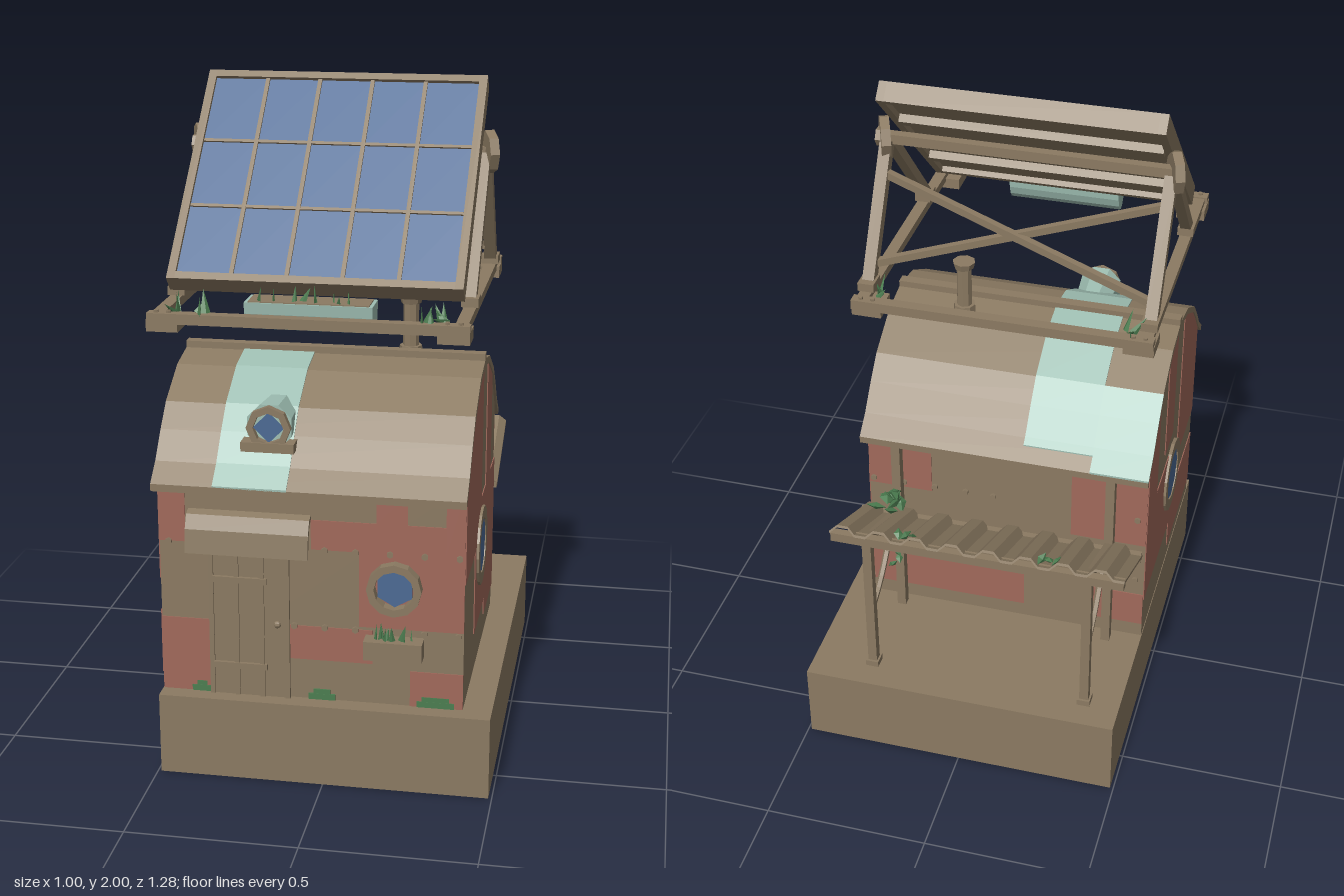
import * as THREE from 'three';

const mat = (name, color, side = THREE.FrontSide) => {
  const m = new THREE.MeshStandardMaterial({ color, flatShading: true, side });
  m.name = name;
  return m;
};

export function createModel() {
  const brown = mat('weathered brown', 0x8b7a62);
  const red = mat('faded red', 0xa1695b);
  const mint = mat('pale mint', 0x9fbfb3);
  const blue = mat('glass blue', 0x4c6a94);
  const green = mat('leaf green', 0x4c7d50, THREE.DoubleSide);

  const root = new THREE.Group();
  root.name = 'solarHut';
  const CX = -0.04; // centre line of the hut

  // ---- helpers ----
  const add = (name, geo, m, x = 0, y = 0, z = 0, parent = root) => {
    const mesh = new THREE.Mesh(geo, m);
    mesh.name = name;
    mesh.position.set(x, y, z);
    parent.add(mesh);
    return mesh;
  };
  const box = (name, w, h, d, x, y, z, m = brown, parent = root) =>
    add(name, new THREE.BoxGeometry(w, h, d), m, x, y, z, parent);
  // box given by its limits
  const span = (name, x0, x1, y0, y1, z0, z1, m = brown) =>
    box(name, x1 - x0, y1 - y0, z1 - z0, (x0 + x1) / 2, (y0 + y1) / 2, (z0 + z1) / 2, m);
  const beam = (name, a, b, w, h = w) => {
    const p = new THREE.Vector3(...a), q = new THREE.Vector3(...b);
    const mesh = box(name, w, h, p.distanceTo(q), 0, 0, 0);
    mesh.position.copy(p).add(q).multiplyScalar(0.5);
    mesh.lookAt(q);
    return mesh;
  };
  // extrude a [z, y] outline along x
  const extrudeX = (pts, x0, x1) => {
    const s = new THREE.Shape(pts.map(([z, y]) => new THREE.Vector2(-z, y)));
    return new THREE.ExtrudeGeometry(s, { depth: x1 - x0, bevelEnabled: false })
      .rotateY(Math.PI / 2).translate(x0, 0, 0);
  };
  // ring and glass facing +z
  const porthole = (name, r, rGlass, depth, seg) => {
    const g = new THREE.Group();
    g.name = name;
    const s = new THREE.Shape().absarc(0, 0, r, 0, Math.PI * 2);
    s.holes.push(new THREE.Path().absarc(0, 0, rGlass, 0, Math.PI * 2, true));
    add('windowRing', new THREE.ExtrudeGeometry(s, { depth, bevelEnabled: false, curveSegments: seg }), brown, 0, 0, 0, g);
    add('windowGlass', new THREE.CylinderGeometry(rGlass, rGlass, 0.006, seg).rotateX(Math.PI / 2), blue, 0, 0, Math.min(0.008, depth / 2), g);
    root.add(g);
    return g;
  };
  let seed = 7;
  const rnd = () => (seed = (seed * 16807) % 2147483647) / 2147483647;
  const tuft = (x, y, z, n, size, spread, tilt = 0.5) => {
    for (let i = 0; i < n; i++) {
      const h = size * (0.7 + 0.5 * rnd());
      const m = add('leaf', new THREE.ConeGeometry(h * 0.22, h, 4).scale(1, 1, 0.4).translate(0, h / 2, 0), green,
        x + (rnd() - 0.5) * spread, y, z + (rnd() - 0.5) * 0.02);
      m.rotation.set((rnd() - 0.5) * tilt * 2, rnd() * 3, (rnd() - 0.5) * tilt * 2);
    }
  };
  const leaf = (x, y, z, s) => {
    const m = add('vineLeaf', new THREE.OctahedronGeometry(s).scale(1, 0.35, 0.7), green, x, y, z);
    m.rotation.set(rnd() * 1.6, rnd() * 6, rnd() * 1.2);
  };

  // ---- plinth ----
  span('plinth', -0.49, 0.49, 0, 0.25, -0.64, 0.64);

  // ---- arched hut body and roof ----
  const half = [[0.45, 0.91], [0.39, 0.96], [0.325, 1.035], [0.26, 1.1], [0.125, 1.175], [0, 1.2]];
  const arch = [...half.map(([d, y]) => [0.19 - d, y]), ...half.slice(0, -1).reverse().map(([d, y]) => [0.19 + d, y])];
  const height = z => {
    for (let i = 1; i < arch.length; i++) {
      const [a, ya] = arch[i - 1], [b, yb] = arch[i];
      if (z <= b) return ya + (yb - ya) * (z - a) / (b - a);
    }
    return arch[arch.length - 1][1];
  };
  const archLine = (z0, z1, off) => [z0, ...arch.map(p => p[0]).filter(z => z > z0 + 0.001 && z < z1 - 0.001), z1]
    .map(z => [z, height(z) + off]);
  const underArch = (z0, z1, y0, off) => [[z1, y0], [z0, y0], ...archLine(z0, z1, off)];
  const shell = (z0, z1, top, bottom) => [...archLine(z0, z1, top), ...archLine(z0, z1, bottom).reverse()];
  add('hutBody', extrudeX(underArch(-0.205, 0.585, 0.25, -0.015), -0.488, 0.405), brown);
  add('roof', extrudeX(shell(-0.26, 0.64, 0, -0.022), -0.495, 0.412), brown);
  add('roofPatch', extrudeX(shell(-0.22, 0.64, 0.004, -0.002), -0.315, -0.1), mint);
  add('roofPatch', extrudeX(shell(-0.26, -0.07, 0.004, -0.002), -0.496, -0.315), mint);
  span('ridgeCap', -0.495, 0.412, 1.19, 1.217, 0.173, 0.207);

  // ---- painted patches: end walls ----
  const endPatch = (side, z0, z1, y0, y1) => {
    const pts = y1 ? [[z1, y0], [z0, y0], [z0, y1], [z1, y1]] : underArch(z0, z1, y0, -0.022);
    const x = side > 0 ? 0.404 : -0.491;
    add('endWallPatch', extrudeX(pts, x, x + 0.004), red);
  };
  [[0.33, 0.585, 0.64], [0.185, 0.33, 0.76], [-0.08, 0.06, 0.76],
    [0.05, 0.33, 0.375, 0.76], [-0.205, 0.05, 0.32, 0.76]].forEach(p => endPatch(1, ...p));
  [[0.3, 0.585, 0.6], [-0.205, -0.06, 0.72], [0.06, 0.19, 0.78],
    [0.2, 0.585, 0.3, 0.5], [-0.205, 0.2, 0.4, 0.72]].forEach(p => endPatch(-1, ...p));
  // front and back walls
  [[-0.488, -0.41, 0.72, 0.93], [-0.04, 0.35, 0.72, 0.81], [0.15, 0.24, 0.81, 0.9], [0.35, 0.405, 0.72, 0.93],
    [0.1, 0.405, 0.49, 0.72], [-0.488, -0.335, 0.25, 0.48], [-0.11, 0.14, 0.375, 0.48], [0.25, 0.405, 0.25, 0.36]]
    .forEach(([a, b, c, d]) => span('frontWallPatch', a, b, c, d, 0.584, 0.588, red));
  [[-0.488, -0.25, 0.62, 0.86], [0.2, 0.405, 0.7, 0.9], [-0.1, 0.405, 0.3, 0.46], [-0.488, -0.3, 0.3, 0.42]]
    .forEach(([a, b, c, d]) => span('backWallPatch', a, b, c, d, -0.208, -0.204, red));
  // moss along the foot of the wall
  [[-0.4, -0.34], [-0.05, 0.03], [0.27, 0.38]].forEach(([a, b]) => {
    span('moss', a, b, 0.25, 0.268, 0.584, 0.591, green);
    span('moss', a + 0.015, b - 0.015, 0.268, 0.282, 0.584, 0.59, green);
  });

  // ---- round windows ----
  porthole('frontWindow', 0.08, 0.058, 0.035, 6).position.set(0.205, 0.62, 0.585);
  for (const s of [1, -1]) {
    const p = porthole('endWindow', 0.122, 0.085, 0.012, 8);
    p.position.set(s > 0 ? 0.404 : -0.487, 0.61, 0.19);
    p.rotation.y = s * Math.PI / 2;
  }
  // dormer with mint hood
  add('dormerHood', new THREE.CylinderGeometry(0.07, 0.058, 0.15, 8).rotateY(Math.PI / 8).rotateX(Math.PI / 2), mint, -0.165, 1.07, 0.475);
  porthole('dormerWindow', 0.065, 0.045, 0.02, 4).position.set(-0.165, 1.07, 0.55);
  span('dormerSill', -0.245, -0.09, 1.0, 1.028, 0.48, 0.575);

  // ---- door, awning, rivets, flower box ----
  span('door', -0.335, -0.11, 0.25, 0.71, 0.58, 0.594);
  for (const x of [-0.335, -0.26, -0.185, -0.11]) span('doorBatten', x - 0.007, x + 0.007, 0.25, 0.71, 0.59, 0.6);
  for (const y of [0.345, 0.615]) span('doorHinge', -0.33, -0.17, y - 0.009, y + 0.009, 0.59, 0.604);
  add('doorKnob', new THREE.SphereGeometry(0.011, 8, 6), brown, -0.138, 0.485, 0.602);
  add('doorAwning', extrudeX([[0.58, 0.825], [0.61, 0.815], [0.63, 0.775], [0.64, 0.705], [0.63, 0.705],
    [0.62, 0.765], [0.605, 0.8], [0.58, 0.81]], -0.4, -0.04), brown);
  const rivet = new THREE.CylinderGeometry(0.01, 0.01, 0.012, 6).rotateX(Math.PI / 2);
  [-0.46, 0, 0.09, 0.19, 0.29, 0.39].forEach(x => {
    for (const z of [0.589, -0.209]) {
      add('rivet', rivet, brown, x, 0.72, z);
      if (x > -0.4 || z < 0) add('rivet', rivet, brown, x, 0.48, z);
    }
  });
  add('rivet', rivet, brown, -0.09, 0.48, 0.589);
  span('flowerBox', 0.12, 0.29, 0.41, 0.467, 0.585, 0.64);
  tuft(0.205, 0.462, 0.612, 10, 0.05, 0.12, 0.3);

  // ---- chimney ----
  add('chimneyPipe', new THREE.CylinderGeometry(0.024, 0.024, 0.18, 8), brown, 0.177, 1.26, 0.11);
  add('chimneyCap', new THREE.CylinderGeometry(0.036, 0.03, 0.022, 8), brown, 0.177, 1.351, 0.11);
  add('chimneyCollar', new THREE.CylinderGeometry(0.034, 0.036, 0.04, 8), brown, 0.177, 1.19, 0.11);

  // ---- solar stand ----
  for (const s of [-1, 1]) {
    const x = CX + s * 0.425;
    beam('sideRail', [x, 1.395, 0.63], [x, 1.395, -0.25], 0.036, 0.026);
    beam('frontLeg', [x, 1.42, 0.39], [x, 1.78, 0.06], 0.032);
    beam('rearLeg', [x, 1.41, -0.18], [x, 1.78, 0.04], 0.036);
    box('legPad', 0.05, 0.026, 0.06, x, 1.422, 0.385);
    box('legPad', 0.05, 0.026, 0.06, x, 1.422, -0.18);
    add('pivotHub', new THREE.CylinderGeometry(0.064, 0.064, 0.028, 8).rotateX(Math.PI / 8).rotateZ(Math.PI / 2), brown, CX + s * 0.435, 1.79, 0.05);
    add('pivotBolt', new THREE.CylinderGeometry(0.03, 0.03, 0.02, 6).rotateZ(Math.PI / 2), brown, CX + s * 0.447, 1.79, 0.05);
    for (const z of [0.595, -0.22]) {
      box('cornerFoot', 0.09, 0.034, 0.088, CX + s * 0.407, 1.376, z);
      for (const d of [-0.018, 0.018])
        add('footBolt', new THREE.CylinderGeometry(0.007, 0.007, 0.012, 6), brown, CX + s * 0.407 + d, 1.413, z + (z > 0 ? 0.03 : -0.035));
      tuft(CX + s * 0.37, 1.405, z, 4, 0.06, 0.03, 0.8);
    }
    beam('crossBrace', [CX - s * 0.41, 1.47, -0.14 - s * 0.006], [CX + s * 0.41, 1.7, -0.005 - s * 0.006], 0.022);
  }
  span('frontBeam', -0.49, 0.412, 1.382, 1.412, 0.605, 0.64);
  span('rearBeam', -0.49, 0.412, 1.382, 1.412, -0.27, -0.235);
  beam('axle', [CX - 0.43, 1.79, 0.05], [CX + 0.43, 1.79, 0.05], 0.03);

  // hanging trough with plants
  const bowl = Array.from({ length: 9 }, (_, i) => [0.56 + 0.047 * Math.cos(Math.PI * i / 8), 1.445 - 0.085 * Math.sin(Math.PI * i / 8)]);
  add('trough', extrudeX(bowl, -0.22, 0.14), mint);
  span('troughSoil', -0.21, 0.13, 1.44, 1.448, 0.518, 0.602);
  tuft(CX, 1.44, 0.58, 9, 0.05, 0.3);
  tuft(-0.34, 1.41, 0.62, 3, 0.07, 0.03);
  tuft(0.29, 1.41, 0.62, 3, 0.06, 0.03);

  // ---- tilted solar panel ----
  const panel = new THREE.Group();
  panel.name = 'solarPanel';
  panel.position.set(CX, 1.724, 0.236);
  panel.rotation.x = 0.748;
  root.add(panel);
  const pbox = (name, w, h, d, x, y, z, m = brown) => box(name, w, h, d, x, y, z, m, panel);
  pbox('panelBack', 0.82, 0.024, 0.74, 0, 0, 0);
  for (const s of [-1, 1]) {
    pbox('panelRim', 0.024, 0.06, 0.757, s * 0.408, 0, 0);
    pbox('panelRim', 0.792, 0.06, 0.024, 0, 0, s * 0.3665);
    pbox('panelRib', 0.79, 0.03, 0.035, 0, -0.022, s * 0.19);
  }
  for (let c = 0; c < 5; c++) for (let r = 0; r < 3; r++)
    pbox('solarCell', 0.158, 0.008, 0.237, (c - 2) * 0.1585, 0.015, (r - 1) * 0.2363, blue);
  for (let c = 0; c < 4; c++) pbox('cellBar', 0.012, 0.014, 0.71, (c - 1.5) * 0.1585, 0.018, 0);
  for (const r of [-1, 1]) pbox('cellBar', 0.79, 0.014, 0.01, 0, 0.017, r * 0.118);

  // ---- rear canopy ----
  const wave = [], N = 8, P = 0.905 / N;
  for (let i = 0; i < N; i++)
    [[0, 0], [0.3, 0], [0.5, 1], [0.8, 1]].forEach(([u, v]) => wave.push([-0.4525 + (i + u) * P, v * 0.022]));
  wave.push([0.4525, 0]);
  const sheet = new THREE.Shape([...wave, ...wave.slice().reverse().map(([x, y]) => [x, y - 0.008])]
    .map(p => new THREE.Vector2(...p)));
  const canopy = add('corrugatedCanopy', new THREE.ExtrudeGeometry(sheet, { depth: 0.31, bevelEnabled: false }), brown, CX, 0.773, -0.56);
  canopy.rotation.x = 0.42;
  span('canopyOuterBeam', -0.49, 0.41, 0.735, 0.765, -0.56, -0.535);
  span('canopyInnerBeam', -0.49, 0.41, 0.63, 0.655, -0.3, -0.275);
  for (const x of [-0.38, 0.3]) {
    span('canopyPost', x - 0.014, x + 0.014, 0.25, 0.75, -0.555, -0.527);
    span('postFoot', x - 0.02, x + 0.02, 0.25, 0.27, -0.562, -0.52);
    span('wallPost', x - 0.014, x + 0.014, 0.25, 0.9, -0.258, -0.228);
    beam('canopyRafter', [x, 0.635, -0.25], [x, 0.75, -0.54], 0.022);
    const curve = new THREE.QuadraticBezierCurve3(new THREE.Vector3(x, 0.66, -0.31),
      new THREE.Vector3(x, 0.51, -0.4), new THREE.Vector3(x, 0.465, -0.54));
    add('curvedBrace', new THREE.TubeGeometry(curve, 8, 0.01, 5), brown);
  }

  // ---- climbing vine ----
  for (let i = 0; i < 9; i++) leaf(0.305 + (rnd() - 0.5) * 0.09, 0.69 + rnd() * 0.05, -0.31 + (rnd() - 0.5) * 0.06, 0.032);
  for (let i = 0; i < 10; i++) leaf(0.3 + (rnd() - 0.5) * 0.03, 0.45 + i * 0.022, -0.29 + (rnd() - 0.5) * 0.02, 0.018);
  for (const x of [-0.26, 0.18]) for (let i = 0; i < 3; i++) leaf(x + (i - 1) * 0.022, 0.785, -0.535, 0.022);

  return root;
}
